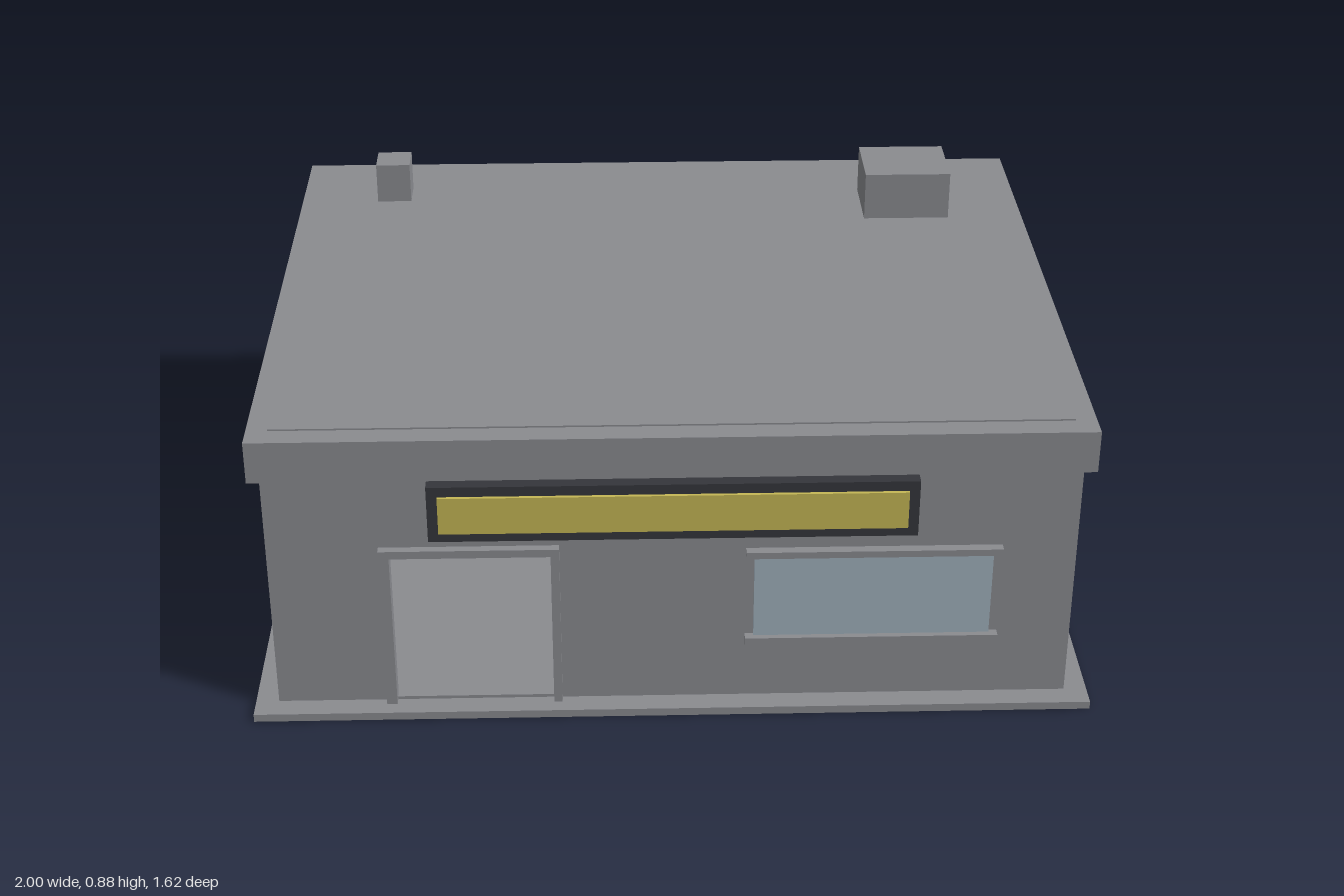
import * as THREE from 'three';

export function createModel() {
  const mat = (name, color) => {
    const m = new THREE.MeshStandardMaterial({ color });
    m.name = name;
    return m;
  };
  const concrete = mat('concrete grey', 0x8a8b8f);
  const charcoal = mat('charcoal', 0x35363b);
  const yellow = mat('sign yellow', 0xc4b655);
  const glass = mat('pale blue glass', 0xa0b0bc);
  const wood = mat('brown wood', 0x876f53);

  const model = new THREE.Group();
  model.name = 'shopBuilding';

  // Box given by its lower and upper limits on each axis
  const box = (name, material, [x0, x1], [y0, y1], [z0, z1]) => {
    const mesh = new THREE.Mesh(new THREE.BoxGeometry(x1 - x0, y1 - y0, z1 - z0), material);
    mesh.position.set((x0 + x1) / 2, (y0 + y1) / 2, (z0 + z1) / 2);
    mesh.name = name;
    model.add(mesh);
    return mesh;
  };

  // Ground slab and raised interior floor
  box('groundSlab', concrete, [-1, 1], [0, 0.02], [-0.81, 0.81]);
  box('interiorFloor', concrete, [-0.92, 0.92], [0.02, 0.028], [-0.735, 0.735]);

  // Side and back walls
  for (const s of [-1, 1]) {
    const wall = box('sideWall', concrete, [0.925, 0.945], [0.02, 0.645], [-0.755, 0.755]);
    wall.position.x *= s;
  }
  box('backWall', concrete, [-0.925, 0.925], [0.02, 0.645], [-0.755, -0.735]);

  // Front wall with an open doorway
  const front = new THREE.Shape([[-0.925, 0.02], [0.925, 0.02], [0.925, 0.645], [-0.925, 0.645]]
    .map(([x, y]) => new THREE.Vector2(x, y)));
  front.holes.push(new THREE.Path([[-0.66, 0.028], [-0.66, 0.43], [-0.285, 0.43], [-0.285, 0.028]]
    .map(([x, y]) => new THREE.Vector2(x, y))));
  const frontWall = new THREE.Mesh(
    new THREE.ExtrudeGeometry(front, { depth: 0.02, bevelEnabled: false }), concrete);
  frontWall.position.z = 0.735;
  frontWall.name = 'frontWall';
  model.add(frontWall);

  // Door frame
  const frameZ = [0.735, 0.775];
  box('doorPostRight', concrete, [-0.685, -0.66], [0.02, 0.45], frameZ);
  box('doorPostLeft', concrete, [-0.285, -0.265], [0.02, 0.45], frameZ);
  box('doorLintel', concrete, [-0.66, -0.285], [0.43, 0.45], frameZ);

  // Shop window with lintel and sill
  box('windowPane', glass, [0.19, 0.75], [0.195, 0.42], [0.755, 0.764]);
  box('windowLintel', concrete, [0.17, 0.77], [0.418, 0.435], [0.755, 0.778]);
  box('windowSill', concrete, [0.17, 0.77], [0.175, 0.196], [0.755, 0.778]);

  // Blank sign board above the front
  box('signFrame', charcoal, [-0.565, 0.565], [0.485, 0.63], [0.755, 0.79]);
  box('signPanel', yellow, [-0.54, 0.54], [0.51, 0.605], [0.79, 0.798]);

  // Flat roof in two bands with a thin raised deck
  box('roofLowerBand', concrete, [-0.97, 0.97], [0.645, 0.695], [-0.785, 0.785]);
  box('roofUpperBand', concrete, [-0.97, 0.97], [0.695, 0.75], [-0.785, 0.785]);
  box('roofDeck', concrete, [-0.92, 0.92], [0.75, 0.754], [-0.73, 0.73]);

  // Rooftop units
  box('roofVent', concrete, [-0.765, -0.675], [0.75, 0.86], [-0.615, -0.525]);
  box('roofAirUnit', concrete, [0.545, 0.77], [0.75, 0.88], [-0.57, -0.38]);

  // Service counter, reaching through the floor slab
  box('counterBody', wood, [-0.47, 0.68], [-0.0005, 0.2], [0.02, 0.14]);
  box('counterTop', wood, [-0.48, 0.69], [0.2, 0.21], [0.01, 0.15]);

  // Wall cabinets with paired doors and handles
  for (const [x0, x1] of [[-0.72, -0.54], [-0.47, -0.29], [-0.285, -0.105], [-0.1, 0.08]]) {
    box('wallCabinet', wood, [x0, x1], [0.215, 0.5], [-0.735, -0.64]);
    const mid = (x0 + x1) / 2;
    for (const s of [-1, 1]) {
      const x = mid + s * 0.042;
      box('cabinetDoor', wood, [mid + s * 0.044 - 0.041, mid + s * 0.044 + 0.041], [0.22, 0.495], [-0.64, -0.632]);
      box('cabinetHandle', wood, [x - 0.009, x + 0.009], [0.25, 0.32], [-0.632, -0.62]);
    }
  }

  return model;
}
